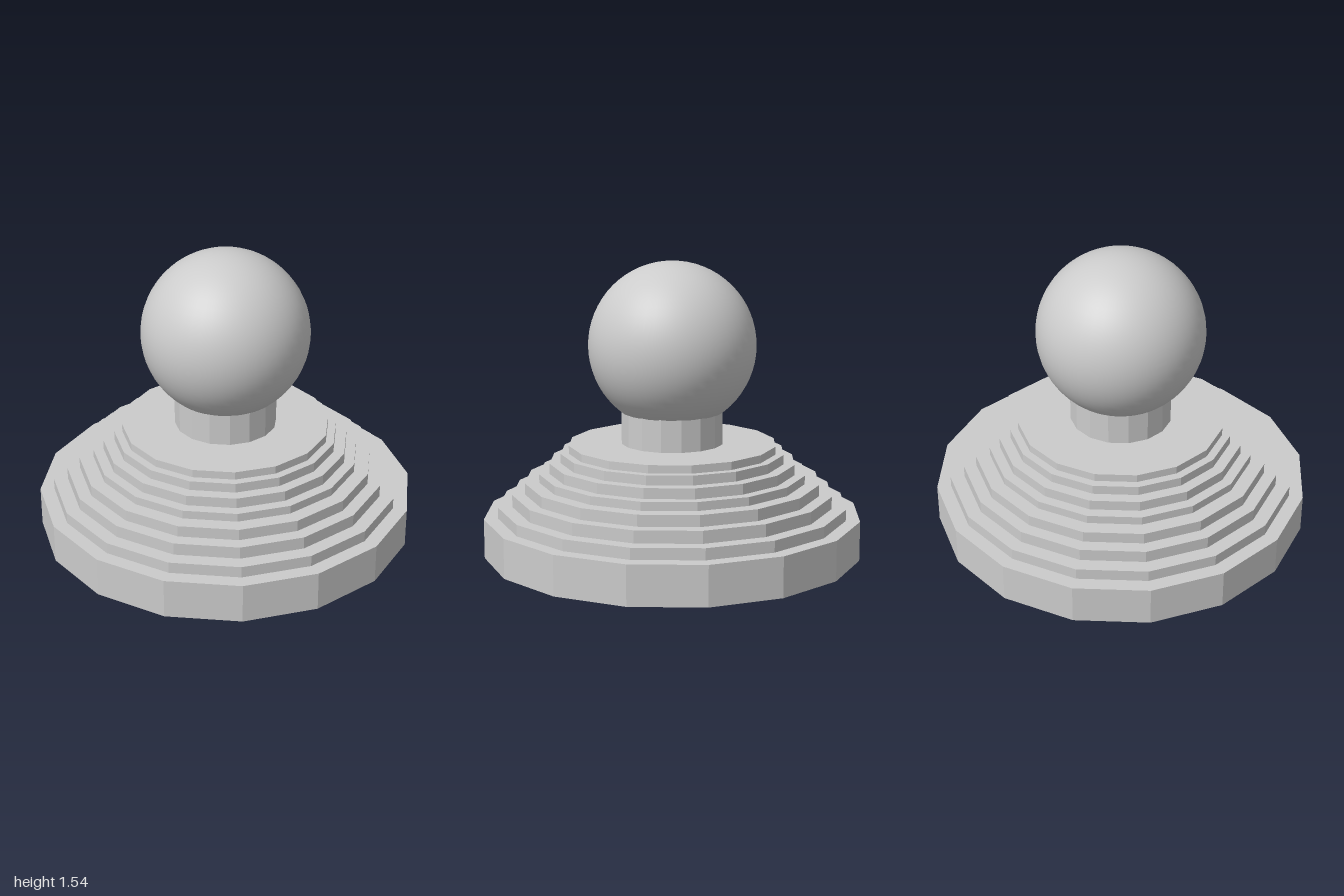
import * as THREE from 'three';

const SIDES = 16;

export function createModel() {
  const model = new THREE.Group();
  const faceted = new THREE.MeshStandardMaterial({ color: 0xcccccc, flatShading: true });
  const smooth = new THREE.MeshStandardMaterial({ color: 0xcccccc });

  // Upright sixteen-sided drum between two heights
  const drum = (name, radius, bottom, top) => {
    const geometry = new THREE.CylinderGeometry(radius, radius, top - bottom, SIDES);
    const mesh = new THREE.Mesh(geometry, faceted);
    mesh.name = name;
    mesh.position.y = (bottom + top) / 2;
    model.add(mesh);
  };

  // Base plinth and the stepped tiers above it: [radius, top height]
  const tiers = [
    [1, 0.21], [0.925, 0.27], [0.85, 0.335], [0.783, 0.395],
    [0.707, 0.44], [0.652, 0.495], [0.593, 0.545], [0.55, 0.587],
  ];
  let bottom = 0;
  tiers.forEach(([radius, top], i) => {
    drum(i === 0 ? 'base' : `step${i}`, radius, bottom, top);
    bottom = top;
  });

  // Neck, running a little way into the ball
  drum('neck', 0.27, bottom, 0.8);

  // Ball on top
  const ball = new THREE.Mesh(new THREE.SphereGeometry(0.44, 48, 32), smooth);
  ball.name = 'ball';
  ball.position.y = 1.105;
  model.add(ball);

  return model;
}
